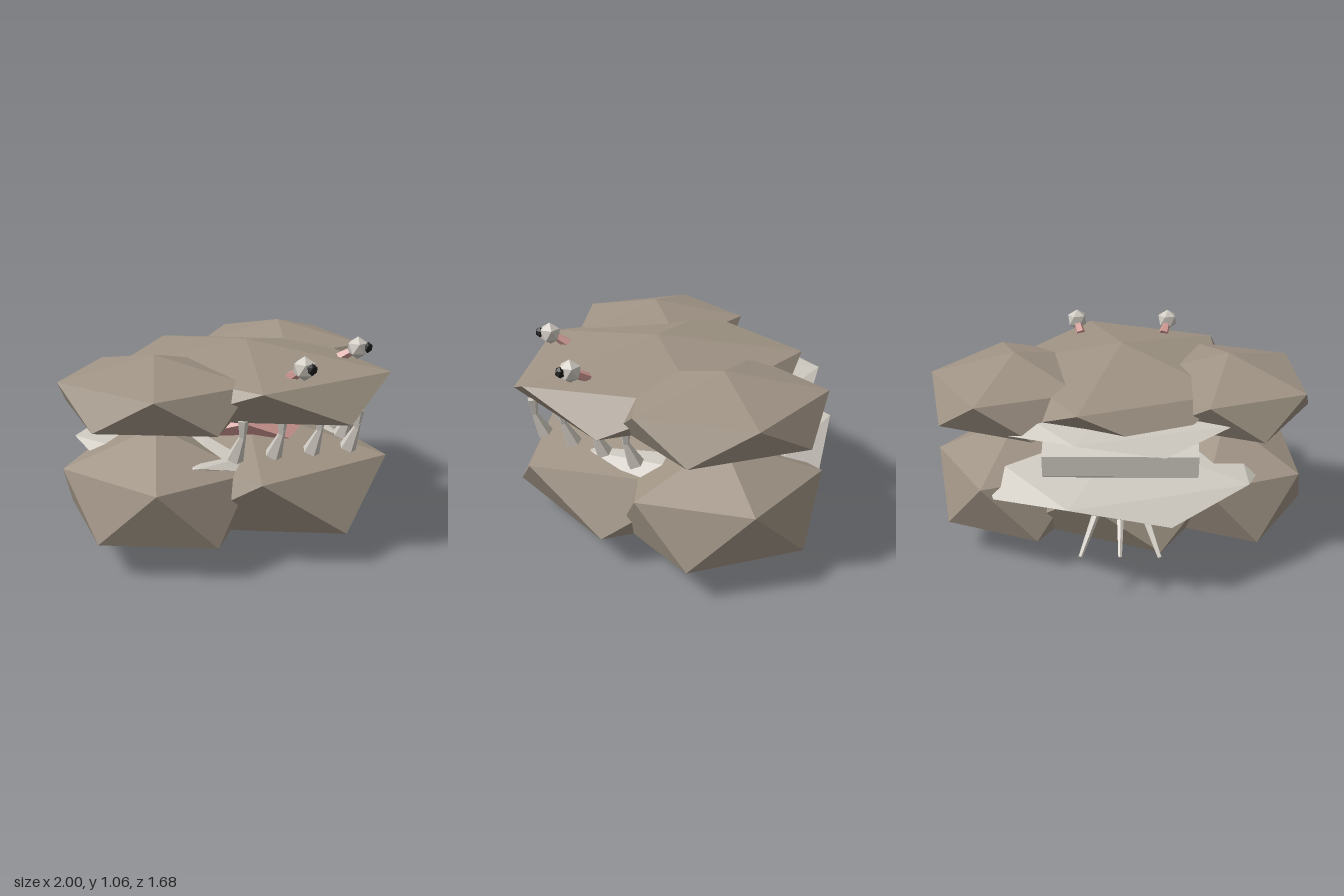
import * as THREE from 'three';

const mat = (name, color) => {
  const m = new THREE.MeshStandardMaterial({ color, flatShading: true });
  m.name = name;
  return m;
};

export function createModel() {
  const group = new THREE.Group();
  group.name = 'clam';
  const shell = mat('shell brown', 0x9f9384);
  const bone = mat('pale bone', 0xcfcac1);
  const flesh = mat('pink flesh', 0xd29b95);
  const black = mat('pupil black', 0x1c1c1c);

  const add = (name, geometry, material) => {
    const mesh = new THREE.Mesh(geometry, material);
    mesh.name = name;
    group.add(mesh);
    return mesh;
  };

  // Stretched icosahedron standing on a corner, with an upper corner towards +x
  const lump = (name, material, [x, y, z], [rx, ry, rz]) => {
    const g = new THREE.IcosahedronGeometry(1, 0);
    g.rotateX(-Math.atan((1 + Math.sqrt(5)) / 2));
    g.rotateY(Math.PI / 2);
    g.scale(rx, ry, rz);
    g.translate(x, y, z);
    return add(name, g, material);
  };

  // Tapered rod from point a to point b
  const rod = (name, material, a, b, ra, rb, sides) => {
    const p = new THREE.Vector3(...a), q = new THREE.Vector3(...b);
    const d = q.clone().sub(p);
    const mesh = add(name, new THREE.CylinderGeometry(rb, ra, d.length(), sides), material);
    mesh.position.copy(p).add(q).multiplyScalar(0.5);
    mesh.quaternion.setFromUnitVectors(new THREE.Vector3(0, 1, 0), d.normalize());
    return mesh;
  };

  // Upper and lower shells, three lobes each
  for (const [name, y, ry] of [['upperShell', 0.832, 0.198], ['lowerShell', 0.33, 0.33]]) {
    lump(name + 'Middle', shell, [0, y, 0.09], [0.727, ry, 0.876]);
    for (const s of [-1, 1]) {
      lump(name + (s > 0 ? 'Left' : 'Right'), shell, [0.56 * s, y, -0.07], [0.492, ry, 0.576]);
    }
  }

  // Pale inner plates sticking out behind
  lump('lowerPlate', bone, [0, 0.485, -0.16], [0.872, 0.1, 0.8]);
  lump('upperPlate', bone, [0, 0.79, -0.14], [0.76, 0.067, 0.727]);

  // Soft body between the shells
  lump('body', flesh, [0, 0.615, 0.01], [0.37, 0.1, 0.5]);

  // Hinge bar, six-sided, lying along x with a corner on top
  const hinge = new THREE.CylinderGeometry(0.104, 0.104, 0.74, 6);
  hinge.rotateZ(Math.PI / 2);
  hinge.computeBoundingBox();
  const size = hinge.boundingBox.getSize(new THREE.Vector3());
  if (size.z > size.y) hinge.rotateX(Math.PI / 2);
  hinge.translate(0, 0.678, -0.595);
  add('hinge', hinge, bone);

  // Curved row of waisted teeth
  for (let i = -3; i <= 3; i++) {
    const x = i * 0.155, z = 0.76 - 0.123 * Math.abs(i);
    rod('toothRoot', bone, [x, 0.755, z + 0.005], [x, 0.65, z], 0.03, 0.014, 5);
    rod('toothTip', bone, [x, 0.69, z + 0.01], [x, 0.55, z - 0.045], 0.012, 0.045, 5);
  }

  // Fan of spikes under the back
  for (const s of [-1, 0, 1]) {
    rod('backSpike', bone, [0.1 * s, 0.43, -0.59], [0.19 * s, 0.262, -0.82], 0.023, 0.01, 6);
  }

  // Eyes on short stalks
  for (const s of [-1, 1]) {
    rod('eyeStalk', flesh, [0.245 * s, 0.94, 0.52], [0.27 * s, 0.995, 0.6], 0.03, 0.02, 5);
    lump('eye', bone, [0.27 * s, 1.0, 0.61], [0.06, 0.06, 0.06]);
    lump('pupil', black, [0.285 * s, 1.005, 0.66], [0.03, 0.03, 0.026]);
  }

  return group;
}
